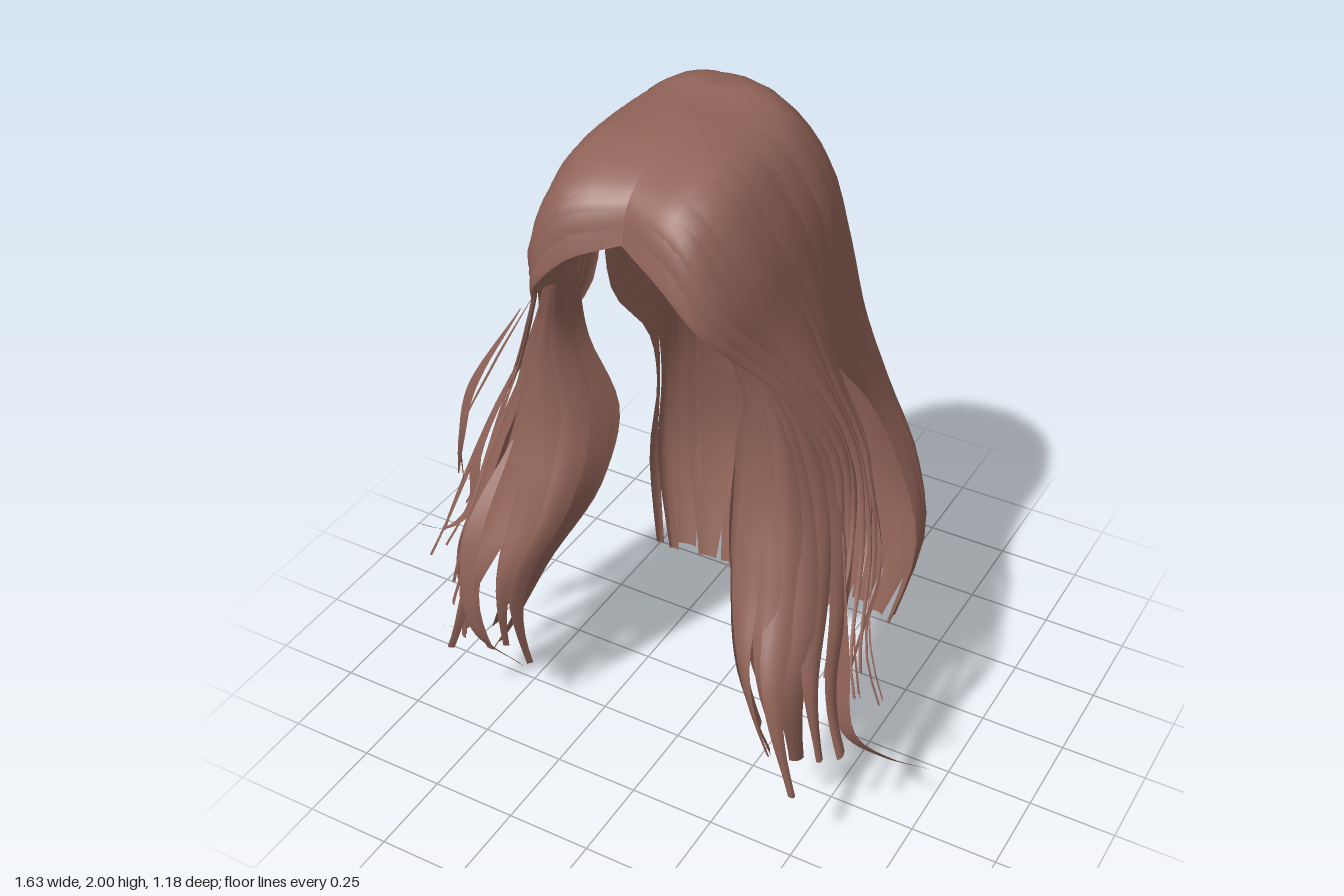
import * as THREE from 'three';

const hair = new THREE.MeshStandardMaterial({ color: 0x8f6257, side: THREE.DoubleSide });
hair.name = 'brown hair';

let seed = 7;
const rand = () => (seed = (seed * 16807) % 2147483647) / 2147483647;
const vec = (p) => new THREE.Vector3(...p);
const curve = (pts) => new THREE.CatmullRomCurve3(pts.map(vec));

// Grid surface from a function of s (across) and t (along)
function gridMesh(name, fn, cols, rows) {
  const pos = [], idx = [];
  for (let j = 0; j <= rows; j++) {
    for (let i = 0; i <= cols; i++) {
      const p = fn(i / cols, j / rows);
      pos.push(p.x, p.y, p.z);
      if (i < cols && j < rows) {
        const a = j * (cols + 1) + i, b = a + cols + 1;
        idx.push(a, b, a + 1, b, b + 1, a + 1);
      }
    }
  }
  const g = new THREE.BufferGeometry();
  g.setAttribute('position', new THREE.Float32BufferAttribute(pos, 3));
  g.setIndex(idx);
  g.computeVertexNormals();
  const m = new THREE.Mesh(g, hair);
  m.name = name;
  return m;
}

// A lofted layer of hair, split across its guides into overlapping strands
function layer(name, guides, side, o) {
  const group = new THREE.Group();
  group.name = name;
  const curves = guides.map(curve);
  for (let k = 0; k < o.count; k++) {
    const mid = (k + 0.5) / o.count;
    const half = 0.5 / o.count * o.overlap;
    const len = 1 - o.trim * rand();
    const lift = o.lift * rand();
    const flick = o.flick * (rand() - 0.35);
    const tipZ = o.flick * (rand() - 0.5);
    const narrow = o.tip * (0.6 + 0.6 * rand());
    const phase = rand() * 6;
    group.add(gridMesh('strand', (s, t) => {
      const tt = t * len;
      const taper = 1 - (1 - narrow) * THREE.MathUtils.smoothstep(t, o.taperFrom, 1);
      const u = THREE.MathUtils.clamp(mid + (s * 2 - 1) * half * taper, 0, 1);
      const p = new THREE.CatmullRomCurve3(curves.map((c) => c.getPoint(tt))).getPoint(u);
      // rounded strand, lifted away from the head
      const out = new THREE.Vector3(p.x, 0, p.z - o.axisZ).normalize();
      p.addScaledVector(out, (lift + o.bulge * Math.sin(Math.PI * s)) * Math.min(1, t * 4));
      const wave = o.wave * t * Math.sin(t * 9 + phase);
      p.x += flick * t ** 5 + wave;
      p.z += tipZ * t ** 5 + wave * 0.5;
      p.x *= side < 0 ? -1 - o.widen * t : 1;
      return p;
    }, 4, 28));
  }
  return group;
}

// A loose ribbon along a path, narrow at the root and tapering to the tip
function wisp(path, width, across = [1, 0, 0], tip = 0.1) {
  const c = curve(path), dir = vec(across).normalize();
  return gridMesh('looseWisp', (s, t) => c.getPoint(t).addScaledVector(
    dir, (s - 0.5) * width * Math.min(1, 0.1 + t * 3) * (1 - (1 - tip) * t ** 2)), 2, 24);
}

// Guides run from the parting to the tips, listed for the left side
const frontGuides = [
  [[0, 1.77, .47], [.12, 1.72, .51], [.22, 1.61, .5], [.29, 1.48, .4], [.36, 1.34, .3], [.44, 1.13, .22], [.48, .9, .27], [.48, .65, .4], [.5, .35, .42]],
  [[0, 1.87, .43], [.16, 1.84, .47], [.26, 1.68, .44], [.32, 1.5, .32], [.39, 1.33, .21], [.46, 1.12, .15], [.51, .9, .22], [.53, .65, .36], [.55, .4, .4]],
  [[0, 1.94, .3], [.19, 1.92, .31], [.28, 1.76, .28], [.33, 1.55, .18], [.39, 1.32, .12], [.47, 1.1, .1], [.53, .87, .17], [.56, .62, .3], [.62, .38, .34]],
  [[0, 1.98, .13], [.19, 1.93, .1], [.28, 1.77, .06], [.32, 1.55, .015], [.35, 1.3, .02], [.46, 1.1, .055], [.49, .9, .1], [.52, .72, .25], [.56, .48, .3]],
];
const lockGuides = [
  [[.2, 1.6, .36], [.22, 1.35, .27], [.16, 1.08, .2], [.19, .85, .24], [.28, .6, .33], [.34, .27, .32]],
  [[.22, 1.58, .42], [.27, 1.35, .35], [.24, 1.08, .33], [.26, .85, .41], [.32, .6, .5], [.37, .23, .46]],
  [[.26, 1.55, .42], [.32, 1.35, .35], [.36, 1.08, .35], [.39, .85, .42], [.41, .6, .53], [.43, .24, .49]],
  [[.29, 1.5, .38], [.37, 1.3, .29], [.44, 1.05, .26], [.49, .8, .35], [.51, .58, .44], [.53, .26, .42]],
  [[.3, 1.48, .3], [.37, 1.27, .15], [.46, 1.03, .1], [.51, .8, .22], [.53, .58, .32], [.57, .34, .32]],
];
const backGuides = [
  [[0, 1.98, .19], [.19, 1.93, .16], [.28, 1.77, .12], [.315, 1.55, .06], [.33, 1.3, .01], [.35, 1.05, -.18], [.4, .8, -.28], [.46, .5, -.31], [.4, .17, -.27]],
  [[0, 1.99, .08], [.18, 1.94, .02], [.27, 1.77, -.02], [.3, 1.55, -.08], [.32, 1.3, -.16], [.36, 1.05, -.27], [.42, .8, -.35], [.45, .5, -.38], [.37, .12, -.32]],
  [[0, 2, .04], [.12, 1.97, -.04], [.2, 1.8, -.14], [.24, 1.55, -.21], [.25, 1.3, -.29], [.27, 1.05, -.37], [.3, .8, -.43], [.31, .5, -.46], [.26, .09, -.36]],
  [[0, 2, .02], [.04, 1.97, -.08], [.07, 1.8, -.18], [.08, 1.55, -.27], [.08, 1.3, -.35], [.09, 1.05, -.42], [.1, .8, -.49], [.1, .5, -.51], [.09, .08, -.39]],
  [[0, 2, 0], [-.01, 1.97, -.08], [-.01, 1.8, -.18], [-.01, 1.55, -.27], [-.01, 1.3, -.35], [-.01, 1.05, -.42], [-.01, .8, -.49], [-.01, .5, -.51], [-.01, .08, -.39]],
];

export function createModel() {
  const model = new THREE.Group();
  model.name = 'longHair';

  for (const [side, label] of [[1, 'left'], [-1, 'right']]) {
    model.add(layer(label + 'FrontSweep', frontGuides, side, {
      count: 8, overlap: 1.4, trim: .12, lift: .008, bulge: .006, flick: .12,
      tip: .25, taperFrom: .6, wave: .01, axisZ: .1, widen: .15,
    }));
    model.add(layer(label + 'FrontLock', lockGuides, side, {
      count: 10, overlap: 1.5, trim: .08, lift: .015, bulge: .008, flick: .14,
      tip: .4, taperFrom: .68, wave: .012, axisZ: 0, widen: .17,
    }));
    model.add(layer(label + 'BackCurtain', backGuides, side, {
      count: 7, overlap: 1.35, trim: .03, lift: .018, bulge: .006, flick: .03,
      tip: .65, taperFrom: .92, wave: .006, axisZ: .05, widen: -.13,
    }));
  }

  // Loose strands around the face locks and the back
  const wisps = new THREE.Group();
  wisps.name = 'looseWisps';
  wisps.add(
    wisp([[.5, .95, .25], [.56, .65, .35], [.61, .43, .4], [.7, .34, .35], [.81, .325, .32]], .07, [1, .6, .3]),
    wisp([[.49, 1.1, .1], [.59, .85, .2], [.58, .65, .3], [.55, .45, .32]], .06, [.5, 0, 1]),
    wisp([[-.52, 1.1, .2], [-.63, .8, .27], [-.64, .64, .3], [-.72, .55, .33], [-.81, .55, .35]], .06, [1, .5, .3]),
    wisp([[-.5, .85, .4], [-.55, .5, .48], [-.58, .33, .45], [-.72, .22, .38]], .06, [1, .5, .3]),
    wisp([[-.42, 1, .38], [-.46, .75, .55], [-.46, .45, .56], [-.4, .25, .44]], .06),
    wisp([[-.35, 1.45, .4], [-.48, 1.2, .46], [-.52, 1.03, .47], [-.58, .86, .42]], .035, [1, .3, 0]),
    wisp([[-.45, 1.35, .2], [-.56, 1.12, .26], [-.65, .9, .3], [-.66, .72, .3]], .05, [.5, 0, 1]),
    wisp([[.08, 1.5, -.3], [.08, 1.1, -.46], [.06, .8, -.58], [.03, .55, -.6], [.12, .08, -.43]], .09, [1, 0, 0], .7),
    wisp([[-.03, .7, -.51], [-.02, .4, -.49], [-.03, .18, -.41], [-.11, 0, -.39]], .1, [1, 0, 0], .5),
  );
  model.add(wisps);
  return model;
}
